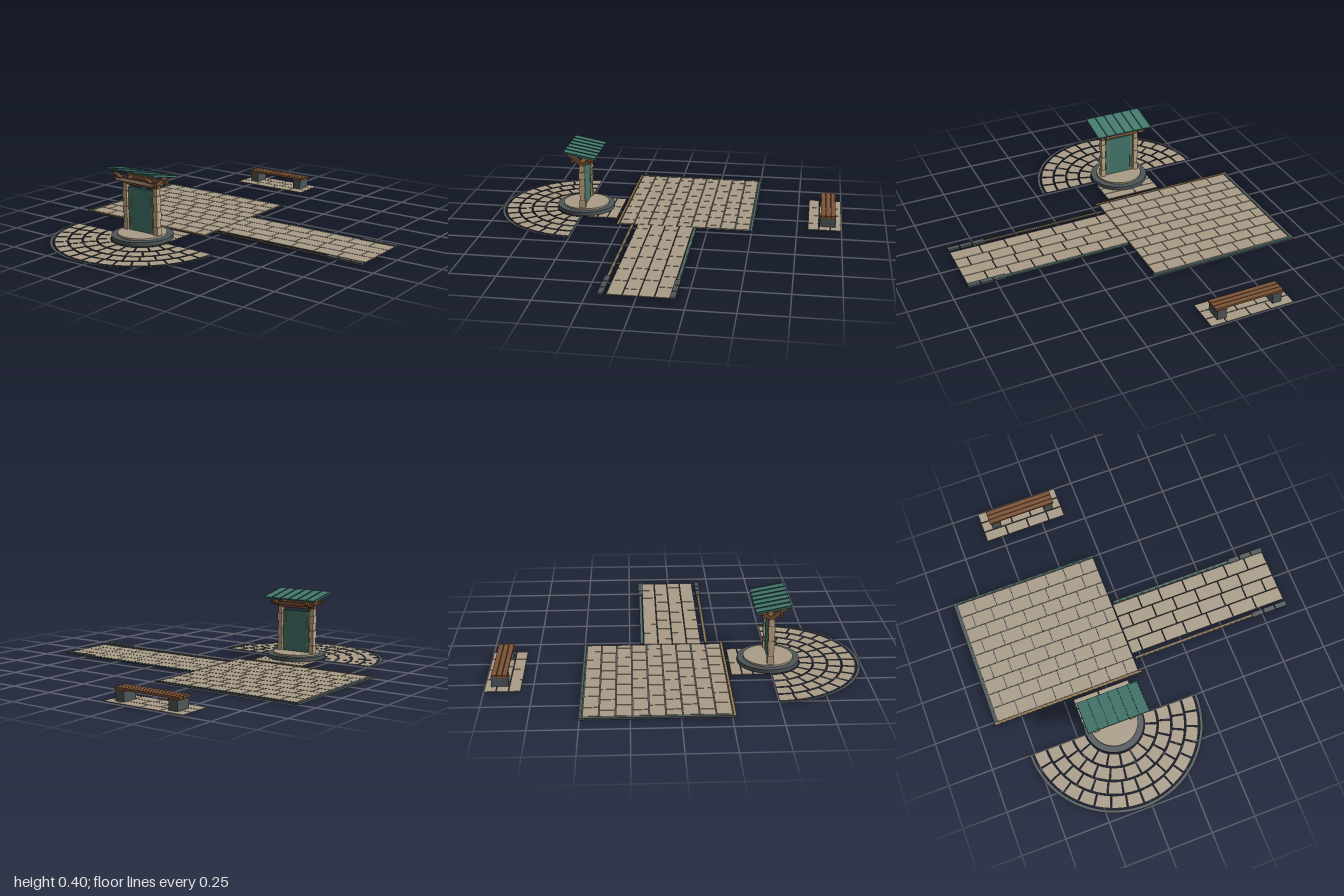
import * as THREE from 'three';
import { mergeGeometries } from 'three/addons/utils/BufferGeometryUtils.js';

const material = (name, color, side = THREE.FrontSide) => {
  const m = new THREE.MeshStandardMaterial({ color, side });
  m.name = name;
  return m;
};

export function createModel() {
  const stone = material('tan stone', 0xaa9d89, THREE.DoubleSide);
  const slate = material('dark slate', 0x4f5759, THREE.DoubleSide);
  const wood = material('brown wood', 0x7d5437);
  const paleStone = material('pale column stone', 0xc3ab8a);
  const teal = material('teal metal', 0x44796f);
  const ochre = material('ochre edging', 0xa07a45);
  const rib = material('deep teal seams', 0x2f5a54);

  const model = new THREE.Group();
  model.name = 'parkRestArea';

  let seed = 7;
  const rand = () => ((seed = (seed * 16807) % 2147483647) / 2147483647);

  const add = (name, geometry, mat, parent = model) => {
    const mesh = new THREE.Mesh(geometry, mat);
    mesh.name = name;
    parent.add(mesh);
    return mesh;
  };
  // Box given by its limits along each axis
  const span = (x0, x1, y0, y1, z0, z1) =>
    new THREE.BoxGeometry(x1 - x0, y1 - y0, z1 - z0)
      .translate((x0 + x1) / 2, (y0 + y1) / 2, (z0 + z1) / 2);
  const group = (name, x = 0, y = 0, z = 0) => {
    const g = new THREE.Group();
    g.name = name;
    g.position.set(x, y, z);
    model.add(g);
    return g;
  };

  // Rows of staggered rectangular pavers
  const paving = (name, x0, x1, z0, z1, rows, width, y0, y1, gap) => {
    const parts = [];
    const depth = (z1 - z0) / rows;
    for (let r = 0; r < rows; r++) {
      let x = x0;
      let next = x0 + width * (r % 2 ? 0.55 : 1) * (0.85 + 0.3 * rand());
      while (x < x1 - 0.001) {
        if (x1 - next < width * 0.3) next = x1;
        parts.push(span(x + gap / 2, next - gap / 2, y0, y1,
          z0 + r * depth + gap / 2, z0 + (r + 1) * depth - gap / 2));
        x = next;
        next = x + width * (0.88 + 0.24 * rand());
      }
    }
    return add(name, mergeGeometries(parts), stone);
  };

  // Plaza with its base and edging
  add('plazaBase', span(-0.9, -0.045, 0, 0.005, -0.495, 0.262), slate);
  paving('plazaPavers', -0.885, -0.045, -0.487, 0.256, 9, 0.11, 0.004, 0.009, 0.005);
  add('plazaSideEdge', span(-0.906, -0.887, 0, 0.01, -0.503, 0.272), slate);
  add('plazaBackEdge', span(-0.906, -0.028, 0, 0.009, -0.503, -0.489), slate);
  add('plazaBackTrim', span(-0.906, -0.028, 0.009, 0.0105, -0.503, -0.497), teal);
  add('plazaFrontEdge', span(-0.906, -0.028, 0, 0.009, 0.257, 0.272), slate);
  add('plazaFrontTrim', span(-0.906, -0.028, 0.009, 0.0105, 0.259, 0.268), ochre);

  // Long path with curbs that end in three separate stones
  paving('pathPavers', -0.043, 0.9, -0.17, 0.151, 4, 0.14, 0.006, 0.01, 0.004);
  for (const [side, z0, z1, trim] of [['back', -0.19, -0.171, teal], ['front', 0.17, 0.189, ochre]]) {
    add(side + 'PathCurb', span(-0.034, 0.69, 0.004, 0.01, z0, z1), slate);
    add(side + 'PathTrim', span(-0.034, 0.69, 0.01, 0.0115, z0 + 0.006, z0 + 0.012), trim);
    for (let i = 0; i < 3; i++) {
      const x = 0.69 + i * 0.072;
      add(side + 'CurbStone', span(x, x + 0.068, 0.004, 0.016, z0 - 0.004, z1 + 0.006), slate);
    }
  }

  // Short link between plaza and shelter
  paving('shelterLink', -0.45, -0.12, 0.285, 0.46, 3, 0.16, 0.006, 0.01, 0.004);

  // Half-round fan of wedge pavers with an outer curb
  const CX = -0.285, CZ = 0.498;
  const wedge = (r0, r1, a0, a1) => {
    const s = new THREE.Shape();
    s.absarc(0, 0, r1, a0, a1, false);
    s.absarc(0, 0, r0, a1, a0, true);
    return new THREE.ShapeGeometry(s, r1 > 0.48 ? 48 : 4)
      .rotateX(-Math.PI / 2).translate(CX, 0.009, CZ);
  };
  const wedges = [];
  const counts = [6, 9, 11, 14, 16];
  counts.forEach((count, ring) => {
    const r0 = 0.095 + ring * 0.077;
    const r1 = r0 + 0.068;
    const step = Math.PI / count;
    const gap = 0.004 / r1;
    for (let i = 0; i < count; i++) {
      wedges.push(wedge(r0, r1, -Math.PI + i * step + gap, -Math.PI + (i + 1) * step - gap));
    }
  });
  add('fanPavers', mergeGeometries(wedges), stone);
  add('fanCurb', wedge(0.48, 0.497, -Math.PI, 0), slate);

  // Shelter plinth
  const shelter = group('shelter', CX, 0, CZ);
  add('plinth', new THREE.CylinderGeometry(0.168, 0.168, 0.022, 40).translate(0, 0.024, 0), slate, shelter);
  add('plinthTop', new THREE.CylinderGeometry(0.134, 0.134, 0.01, 40).translate(0, 0.04, 0), stone, shelter);

  // Columns of stacked blocks, and the forked arms above them
  for (const side of [-1, 1]) {
    const x = side * 0.106;
    for (let i = 0; i < 6; i++) {
      const w = i % 2 ? 0.024 : 0.03;
      add('columnBlock', new THREE.BoxGeometry(w, 0.042, w + 0.006)
        .translate(x, 0.066 + i * 0.0435, 0), paleStone, shelter);
      if (i) add('columnBand', new THREE.BoxGeometry(0.026, 0.004, 0.03)
        .translate(x, 0.0443 + i * 0.0435, 0), wood, shelter);
    }
    for (const [z, y] of [[0.084, 0.372], [-0.078, 0.343]]) {
      const length = Math.hypot(z, y - 0.306);
      const arm = add('forkArm', new THREE.BoxGeometry(0.02, 0.018, length), wood, shelter);
      arm.position.set(x, (y + 0.306) / 2, z / 2);
      arm.rotation.x = -Math.atan2(y - 0.306, z);
    }
  }

  // Beams
  add('lowerBeam', span(-0.122, 0.122, 0.3, 0.32, -0.015, 0.015), wood, shelter);
  add('frontPurlin', span(-0.142, 0.142, 0.322, 0.346, 0.042, 0.054), wood, shelter);
  add('frontPurlinFace', span(-0.125, 0.125, 0.327, 0.341, 0.054, 0.056), paleStone, shelter);
  add('backPurlin', span(-0.142, 0.142, 0.318, 0.34, -0.056, -0.044), wood, shelter);

  // Panel with slim side frames
  add('panel', span(-0.088, 0.088, 0.045, 0.285, -0.008, 0.008), teal, shelter);
  for (const side of [-1, 1]) {
    add('panelStrip', span(side * 0.073 - 0.002, side * 0.073 + 0.002, 0.045, 0.285, -0.01, 0.01), ochre, shelter);
  }

  // Sloping roof with standing seams, higher at the front
  const roof = new THREE.Group();
  roof.name = 'roof';
  roof.position.set(0, 0.376, 0.003);
  roof.rotation.x = -0.19;
  shelter.add(roof);
  add('roofSheet', new THREE.BoxGeometry(0.346, 0.007, 0.188), teal, roof);
  for (let i = 0; i < 7; i++) {
    add('roofSeam', new THREE.BoxGeometry(0.005, 0.006, 0.19)
      .translate(-0.1705 + i * 0.0568, 0.005, 0), rib, roof);
  }

  // Bench on its own paved pad
  paving('benchPad', -0.594, -0.108, -1, -0.81, 3, 0.125, 0.004, 0.007, 0.004);
  const bench = group('bench', -0.348, 0, -0.922);
  for (const side of [-1, 1]) {
    add('benchLeg', new THREE.BoxGeometry(0.052, 0.052, 0.09).translate(side * 0.162, 0.033, 0), slate, bench);
    add('benchBracket', new THREE.BoxGeometry(0.06, 0.006, 0.09).translate(side * 0.162, 0.061, 0), wood, bench);
  }
  for (let i = -1; i <= 1; i++) {
    add('benchSlat', new THREE.BoxGeometry(0.396, 0.012, 0.025).translate(0, 0.07, i * 0.028), wood, bench);
  }

  return model;
}
